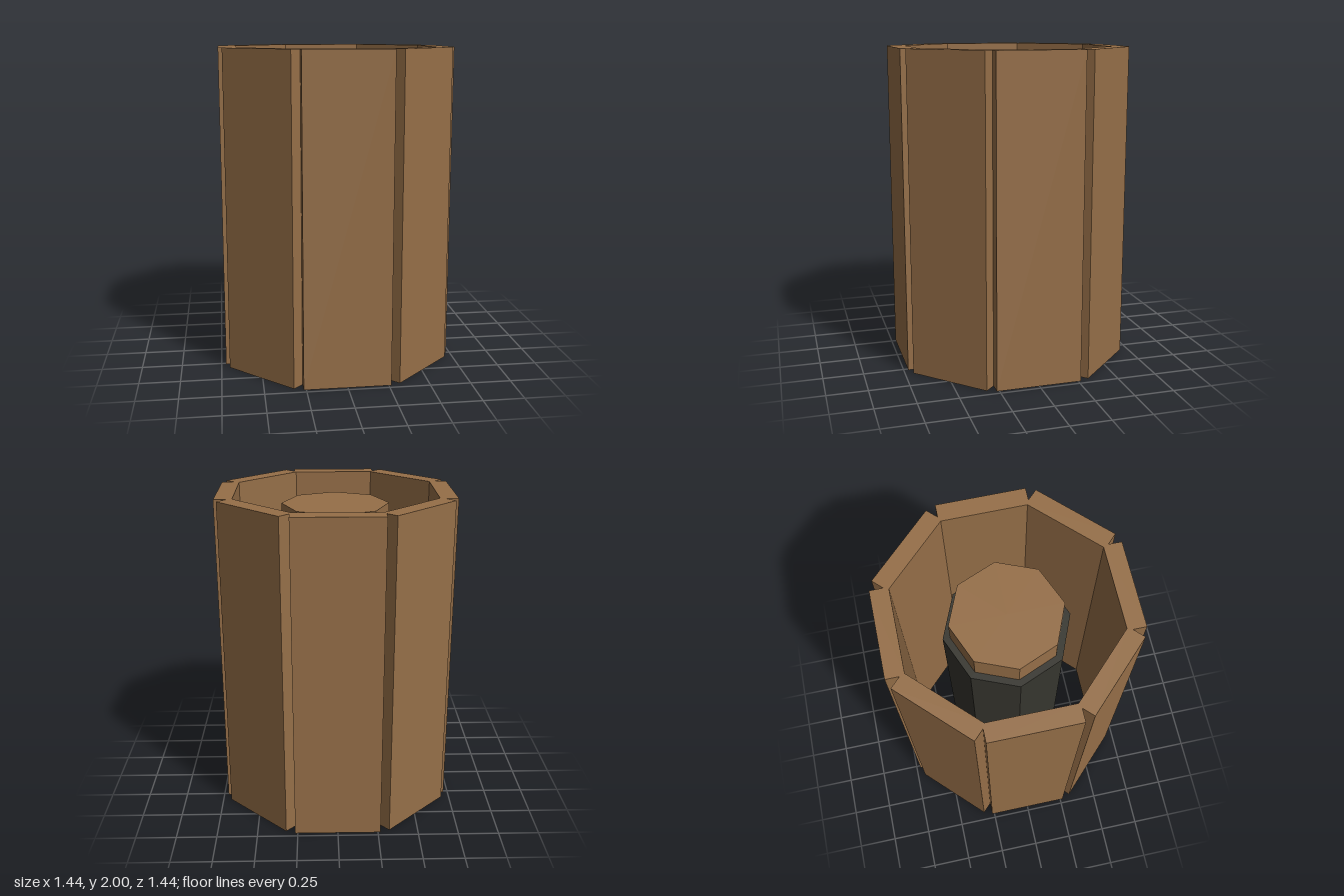
import * as THREE from 'three';

const SIDES = 8;

export function createModel() {
  const model = new THREE.Group();
  const wood = new THREE.MeshStandardMaterial({ color: 0x966f48, flatShading: true });
  wood.name = 'wood';
  const iron = new THREE.MeshStandardMaterial({ color: 0x36352e, flatShading: true });
  iron.name = 'dark iron';

  // Ring of upright planks, with open notches between their outer corners
  const planks = new THREE.Group();
  planks.name = 'planks';
  const plankGeometry = new THREE.BoxGeometry(0.532, 2, 0.11);
  plankGeometry.translate(0, 1, 0.667);
  for (let i = 0; i < SIDES; i++) {
    const plank = new THREE.Mesh(plankGeometry, wood);
    plank.name = 'plank';
    plank.rotation.y = (i / SIDES) * Math.PI * 2;
    planks.add(plank);
  }
  model.add(planks);

  // Upright octagonal prism spanning two heights
  const prism = (name, radius, bottom, top, material) => {
    const geometry = new THREE.CylinderGeometry(radius, radius, top - bottom, SIDES);
    const mesh = new THREE.Mesh(geometry, material);
    mesh.name = name;
    mesh.position.y = (bottom + top) / 2;
    model.add(mesh);
  };

  // Central axle with a dark sleeve around its middle
  prism('axle', 0.333, 0.1, 1.92, wood);
  prism('sleeve', 0.376, 0.27, 1.75, iron);

  return model;
}
